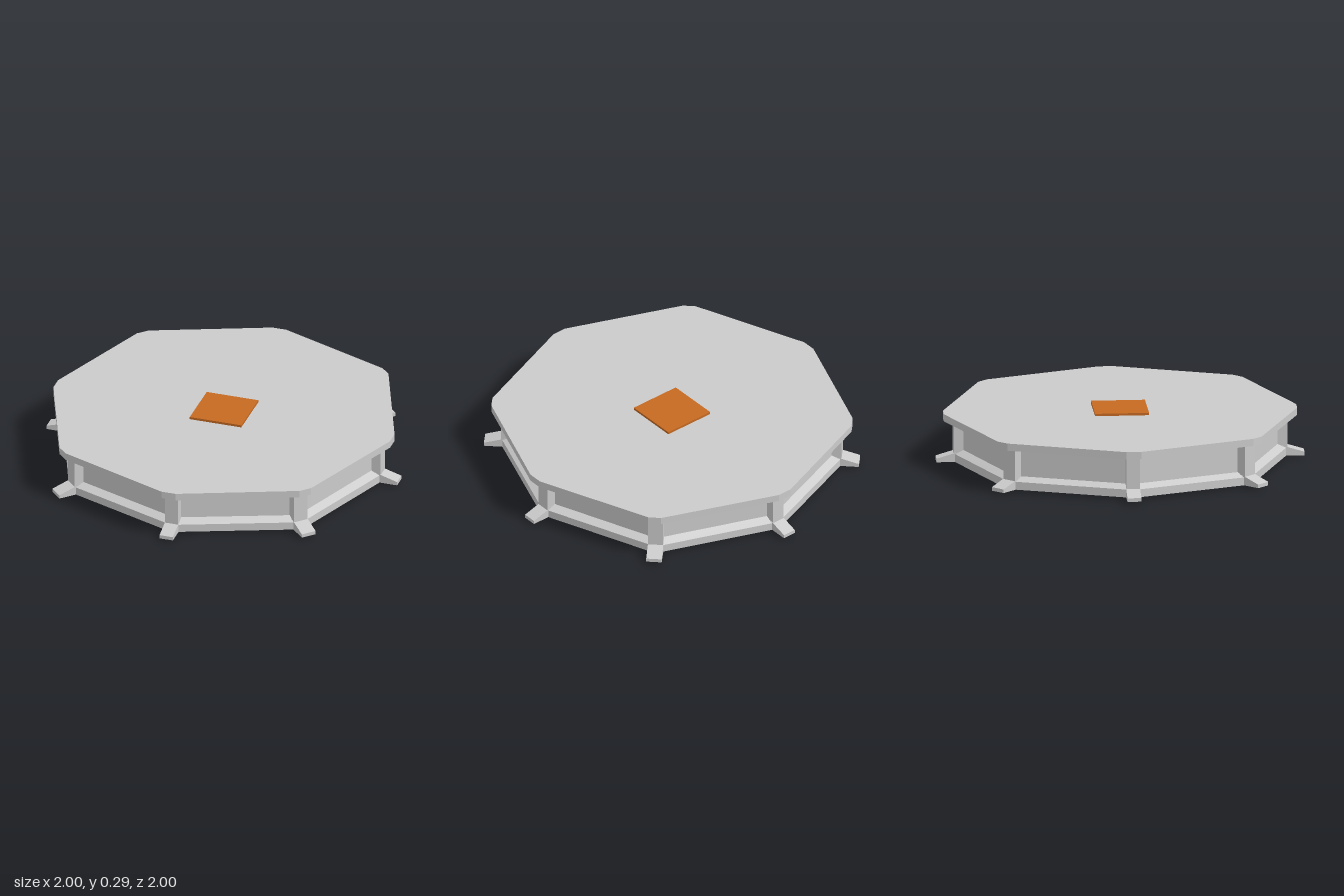
import * as THREE from 'three';

const SIDES = 8;
const DIAGONAL_OFFSET = 0.02; // the diagonal corners reach slightly further out

const grey = new THREE.MeshStandardMaterial({ color: 0xcccccc, flatShading: true });
const orange = new THREE.MeshStandardMaterial({ color: 0xc66a22, flatShading: true });

// Octagon with blunt corners: w and wd are half-widths of axis and diagonal corners
function ring(r, y, w, wd) {
  const pts = [];
  for (let i = 0; i < SIDES; i++) {
    const a = (i * Math.PI * 2) / SIDES;
    const diagonal = i % 2 === 1;
    const rad = r + (diagonal ? DIAGONAL_OFFSET : 0);
    const half = diagonal ? wd : w;
    for (const t of [-half, half]) {
      pts.push([
        Math.cos(a) * rad - Math.sin(a) * t,
        y,
        Math.sin(a) * rad + Math.cos(a) * t,
      ]);
    }
  }
  return pts;
}

// Closed solid through a stack of [radius, height] octagons, bottom to top
function loft(profile, w, wd) {
  const rings = profile.map(([r, y]) => ring(r, y, w, wd));
  const n = SIDES * 2;
  const pos = [];
  const tri = (a, b, c) => pos.push(...a, ...b, ...c);
  for (let k = 0; k < rings.length - 1; k++) {
    const lo = rings[k], hi = rings[k + 1];
    for (let i = 0; i < n; i++) {
      const j = (i + 1) % n;
      tri(lo[i], hi[i], lo[j]);
      tri(hi[i], hi[j], lo[j]);
    }
  }
  const bottom = rings[0], top = rings[rings.length - 1];
  const cb = [0, bottom[0][1], 0], ct = [0, top[0][1], 0];
  for (let i = 0; i < n; i++) {
    const j = (i + 1) % n;
    tri(cb, bottom[i], bottom[j]);
    tri(ct, top[j], top[i]);
  }
  const g = new THREE.BufferGeometry();
  g.setAttribute('position', new THREE.Float32BufferAttribute(pos, 3));
  g.computeVertexNormals();
  return g;
}

function addMesh(parent, name, geometry, material = grey) {
  const mesh = new THREE.Mesh(geometry, material);
  mesh.name = name;
  parent.add(mesh);
  return mesh;
}

// Foot with a sloping top, pointing along +x
function footGeometry(shift, half) {
  const s = new THREE.Shape();
  s.moveTo(0.8 + shift, 0.012);
  s.lineTo(1.0 + shift, 0.012);
  s.lineTo(1.0 + shift, 0.032);
  s.lineTo(0.853 + shift, 0.076);
  s.lineTo(0.8 + shift, 0.076);
  s.closePath();
  const g = new THREE.ExtrudeGeometry(s, { depth: half * 2, bevelEnabled: false });
  return g.translate(0, 0, -half);
}

export function createModel() {
  const model = new THREE.Group();
  model.name = 'octagonalPlatform';

  // Base plinth, recessed wall and flared cornice
  const body = [[0.9, 0.012], [0.9, 0.056], [0.853, 0.078], [0.853, 0.223], [0.9, 0.24]];
  addMesh(model, 'body', loft(body, 0.037, 0.041));

  // Top slab
  addMesh(model, 'topSlab', loft([[0.96, 0.24], [0.96, 0.28]], 0.04, 0.035));

  // Corner posts and feet
  for (let i = 0; i < SIDES; i++) {
    const diagonal = i % 2 === 1;
    const shift = diagonal ? DIAGONAL_OFFSET : 0;
    const half = diagonal ? 0.041 : 0.037;
    const corner = new THREE.Group();
    corner.name = 'cornerSupport';
    corner.rotation.y = (-i * Math.PI * 2) / SIDES;
    const post = new THREE.BoxGeometry(0.106, 0.19, half * 2);
    addMesh(corner, 'post', post).position.set(0.853 + shift, 0.145, 0);
    addMesh(corner, 'foot', footGeometry(shift, half + 0.001));
    model.add(corner);
  }

  // Square plates in the middle of the top and underside
  const plate = new THREE.BoxGeometry(0.294, 0.014, 0.294);
  addMesh(model, 'topPlate', plate, orange).position.y = 0.286;
  addMesh(model, 'bottomPlate', plate, orange).position.y = 0.007;

  return model;
}
